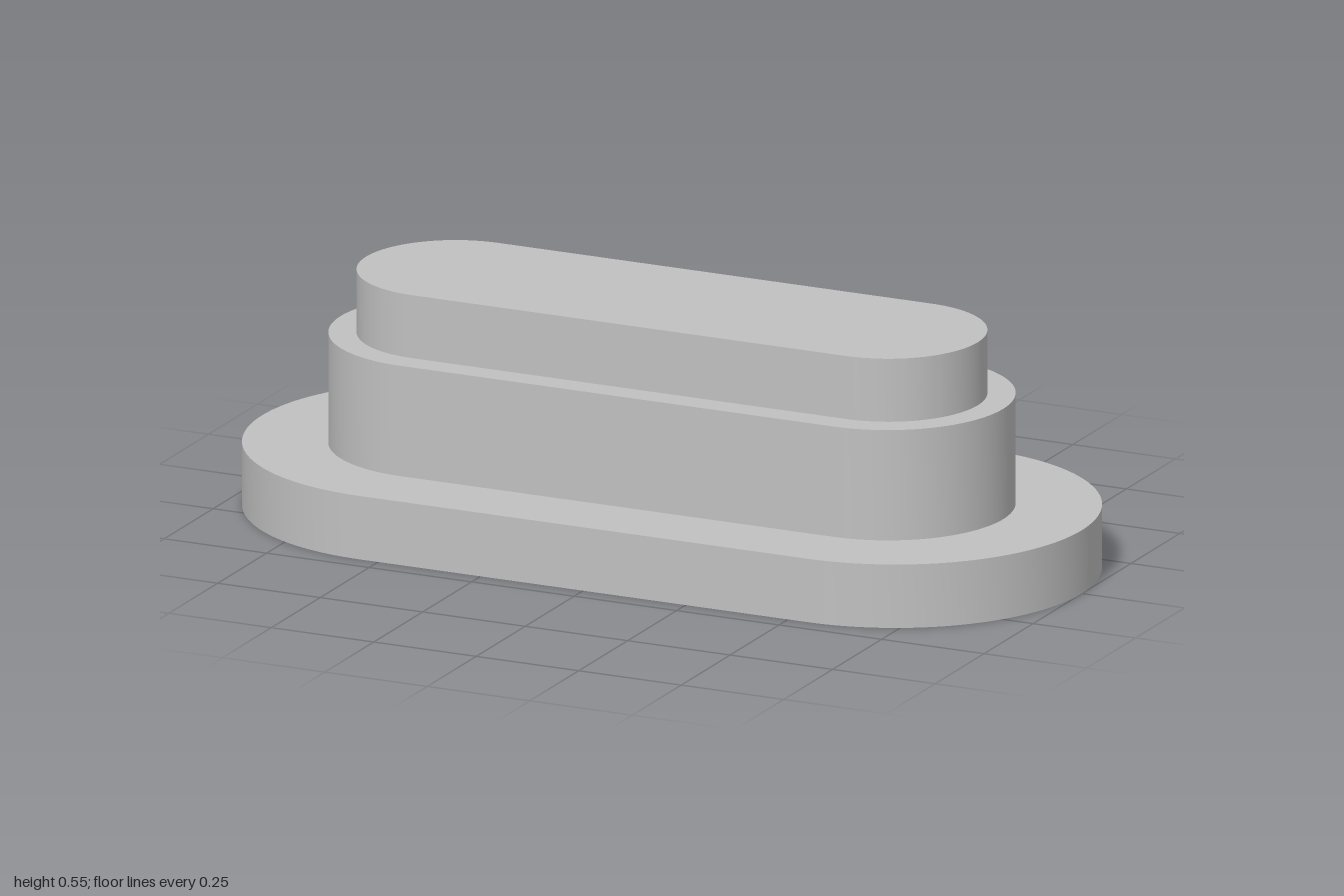
import * as THREE from 'three';
import { toCreasedNormals } from 'three/addons/utils/BufferGeometryUtils.js';

// Upright slab with a stadium outline: two half circles joined by straight sides
function stadiumSlab(halfLength, radius, height) {
  const s = halfLength - radius;
  const shape = new THREE.Shape();
  shape.absarc(s, 0, radius, -Math.PI / 2, Math.PI / 2, false);
  shape.absarc(-s, 0, radius, Math.PI / 2, Math.PI * 1.5, false);
  const geometry = new THREE.ExtrudeGeometry(shape, {
    depth: height, bevelEnabled: false, curveSegments: 32,
  });
  geometry.rotateX(-Math.PI / 2);
  return toCreasedNormals(geometry, Math.PI / 6);
}

export function createModel() {
  const group = new THREE.Group();
  group.name = 'steppedPlug';
  const grey = new THREE.MeshStandardMaterial({ color: 0xc0c0c0 });
  grey.name = 'grey';

  // Three tiers stacked from the ground: name, half length, end radius, bottom, top
  const tiers = [
    ['baseFlange', 1, 0.454, 0, 0.146],
    ['middleStep', 0.808, 0.281, 0.146, 0.4],
    ['topStep', 0.746, 0.218, 0.4, 0.545],
  ];
  for (const [name, halfLength, radius, bottom, top] of tiers) {
    const mesh = new THREE.Mesh(stadiumSlab(halfLength, radius, top - bottom), grey);
    mesh.name = name;
    mesh.position.y = bottom;
    group.add(mesh);
  }
  return group;
}
